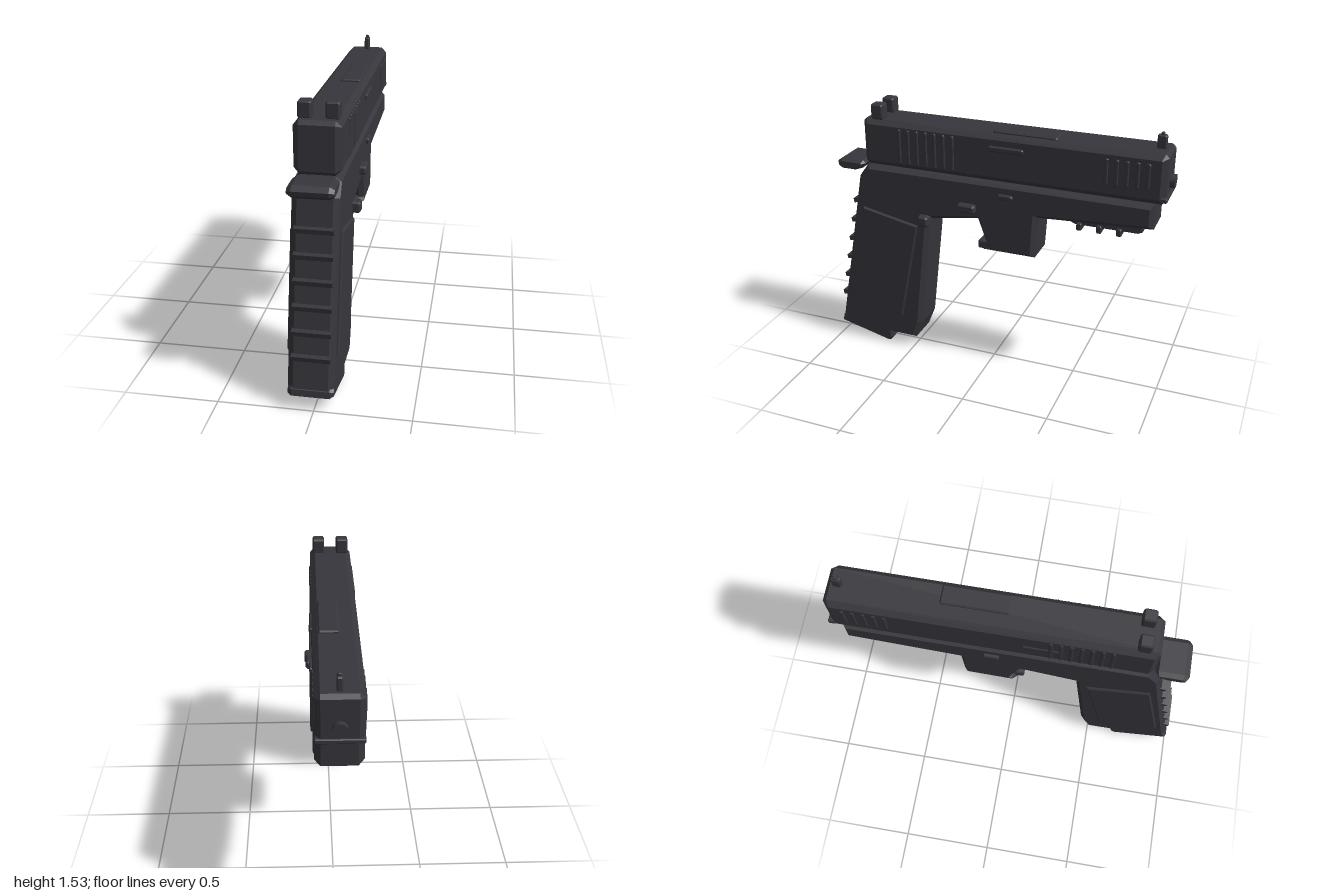
import * as THREE from 'three';

export function createModel() {
  const model = new THREE.Group();
  const gunmetal = new THREE.MeshStandardMaterial({ color: 0x37363c });
  gunmetal.name = 'dark gunmetal';
  const CX = -0.017; // centre plane of the body

  function add(name, geometry) {
    const mesh = new THREE.Mesh(geometry, gunmetal);
    mesh.name = name;
    model.add(mesh);
    return mesh;
  }

  // Side outline given as [z, y] points, extruded across x with chamfered edges
  function slab(name, points, x0, x1, bevel = 0.008, bevelX = bevel) {
    const shape = new THREE.Shape(points.map(([z, y]) => new THREE.Vector2(z, y)));
    const geometry = new THREE.ExtrudeGeometry(shape, {
      depth: x1 - x0 - 2 * bevelX, bevelEnabled: bevel > 0, bevelSegments: 1,
      bevelSize: bevel, bevelOffset: -bevel, bevelThickness: bevelX,
    });
    geometry.rotateY(-Math.PI / 2);
    geometry.translate(x1 - bevelX, 0, 0);
    return add(name, geometry);
  }

  // Block with cut corners
  function block(name, x0, x1, y0, y1, z0, z1, bevel = 0.007, cut = bevel) {
    return slab(name, [
      [z0 + cut, y0], [z1 - cut, y0], [z1, y0 + cut], [z1, y1 - cut],
      [z1 - cut, y1], [z0 + cut, y1], [z0, y1 - cut], [z0, y0 + cut],
    ], x0, x1, bevel);
  }

  // Slide and frame
  block('slide', -0.137, 0.103, 1.172, 1.445, -0.97, 0.76, 0.03, 0.02);
  slab('frame', [
    [0.75, 1.168], [-0.92, 1.168], [-0.92, 1.025], [-0.285, 0.99], [-0.27, 0.745],
    [0.04, 0.745], [0.015, 0.78], [0.07, 0.93], [0.365, 0.885], [0.445, 0.175],
    [0.49, 0.06], [0.93, 0.06], [0.993, 0.11], [0.81, 1.085],
  ], -0.137, 0.103, 0.024, 0.03);
  block('guardLip', -0.107, 0.073, 0.745, 0.795, 0, 0.073);
  slab('magazineBase', [
    [0.955, 0.15], [0.995, 0.115], [1.0, 0.08], [0.67, 0.0], [0.645, 0.03], [0.645, 0.09],
  ], -0.135, 0.101, 0.012, 0.02);
  slab('beavertail', [
    [0.767, 1.165], [0.785, 1.182], [0.92, 1.182], [0.95, 1.16],
    [0.945, 1.135], [0.92, 1.117], [0.84, 1.117], [0.79, 1.135],
  ], -0.13, 0.1, 0.015, 0.025);

  // Grip panel, one body showing on both sides
  slab('gripPanels', [
    [0.783, 0.905], [0.435, 0.835], [0.56, 0.215], [0.91, 0.285],
  ], -0.15, 0.117, 0.008);

  // Ribs down the back of the grip
  for (let i = 0; i < 6; i++) {
    const rib = add('gripRib', new THREE.BoxGeometry(0.2, 0.026, 0.04));
    rib.position.set(CX, 0.286 + i * 0.128, 0.962 - i * 0.0242);
    rib.rotation.x = 0.19;
  }

  // Slide serrations on both sides
  for (let i = 0; i < 7; i++)
    block('rearSerration', -0.144, 0.11, 1.205, 1.408, 0.199 + i * 0.0535, 0.221 + i * 0.0535, 0.005);
  for (let i = 0; i < 5; i++)
    block('frontSerration', -0.144, 0.11, 1.25, 1.395, -0.886 + i * 0.055, -0.864 + i * 0.055, 0.005);

  // Ejection port cover and side bars
  block('ejectionCover', -0.034, 0.072, 1.43, 1.458, -0.38, -0.02);
  block('rightPortBar', 0.08, 0.116, 1.35, 1.382, -0.205, -0.005);
  block('leftPortBar', -0.143, -0.12, 1.285, 1.317, 0.06, 0.26);

  // Sights
  for (const side of [-1, 1])
    block('rearSight', CX + side * 0.069 - 0.034, CX + side * 0.069 + 0.034, 1.44, 1.528, 0.638, 0.71, 0.008);
  block('frontSight', -0.031, -0.001, 1.44, 1.518, -0.936, -0.886);
  block('frontSightTip', -0.025, -0.007, 1.5, 1.53, -0.92, -0.903, 0.003);

  // Muzzle and lip under it
  const muzzle = add('muzzle', new THREE.CylinderGeometry(0.037, 0.037, 0.06, 12).rotateX(Math.PI / 2));
  muzzle.position.set(CX, 1.275, -0.967);
  block('muzzleLip', -0.137, 0.103, 1.19, 1.216, -0.98, -0.94, 0.005);

  // Controls
  block('framePin', -0.155, 0.12, 1.08, 1.11, -0.147, -0.06);
  block('slideRelease', 0.08, 0.138, 0.975, 1.025, 0.07, 0.177, 0.01);
  block('magazineRelease', 0.07, 0.146, 0.85, 0.913, 0.357, 0.423, 0.01);

  // Accessory rail
  slab('rail', [
    [-0.45, 1.02], [-0.45, 0.995], [-0.49, 0.978], [-0.835, 0.978], [-0.86, 0.99], [-0.86, 1.035],
  ], -0.092, 0.058, 0.006);
  for (let i = 0; i < 3; i++)
    block('railTooth', -0.107, 0.073, 0.95, 0.995, -0.75 + i * 0.11, -0.72 + i * 0.11, 0.006);

  return model;
}
